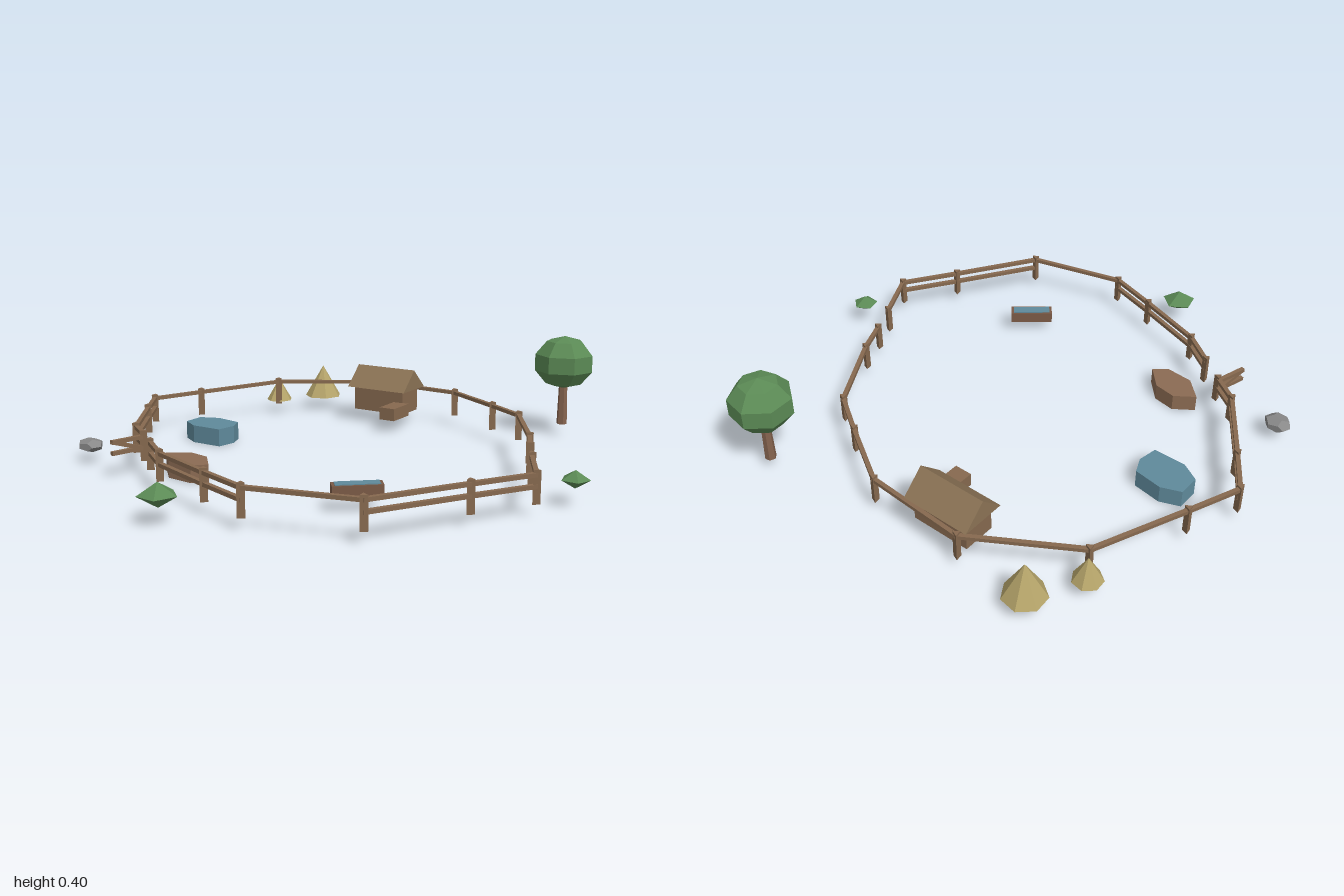
import * as THREE from 'three';

const paint = (name, color) => {
  const m = new THREE.MeshStandardMaterial({ color, flatShading: true });
  m.name = name;
  return m;
};

export function createModel() {
  const model = new THREE.Group();
  model.name = 'farmPaddock';
  const wood = paint('wood', 0x86694f);
  const roofBrown = paint('roofBrown', 0x8b7355);
  const mud = paint('mud', 0x8b6b53);
  const water = paint('water', 0x5f8a9b);
  const leaf = paint('leaf', 0x5b8a55);
  const straw = paint('straw', 0xb5a46a);
  const stone = paint('stone', 0x888888);
  const bark = paint('bark', 0x85634e);
  const troughWood = paint('troughWood', 0x7b5a46);

  const add = (name, geo, mat, x, y, z, parent = model) => {
    const mesh = new THREE.Mesh(geo, mat);
    mesh.name = name;
    mesh.position.set(x, y, z);
    parent.add(mesh);
    return mesh;
  };
  const group = (name, x, z, turn) => {
    const g = new THREE.Group();
    g.name = name;
    g.position.set(x, 0, z);
    g.rotation.y = turn;
    model.add(g);
    return g;
  };

  // Fence: three-sided posts joined by rails; some runs have a lower rail
  const fence = group('fence', 0, 0, 0);
  const postGeo = new THREE.CylinderGeometry(0.015, 0.015, 0.112, 3);
  const post = ([x, z]) => add('fencePost', postGeo, wood, x, 0.098, z, fence);
  const rail = (a, b, y0, y1 = y0) => {
    const from = new THREE.Vector3(a[0], y0, a[1]);
    const to = new THREE.Vector3(b[0], y1, b[1]);
    const mid = from.clone().add(to).multiplyScalar(0.5);
    const r = add('fenceRail', new THREE.BoxGeometry(0.016, 0.014, from.distanceTo(to) + 0.01), wood, mid.x, mid.y, mid.z, fence);
    r.lookAt(to);
  };
  const run = (points, doubleFrom) => {
    points.forEach((p, i) => {
      post(p);
      if (i === points.length - 1) return;
      rail(p, points[i + 1], 0.138);
      if (doubleFrom.includes(i)) rail(p, points[i + 1], 0.1);
    });
  };
  run([[0.706, -0.198], [0.868, -0.06], [0.823, 0.172], [0.76, 0.526], [0.447, 0.754],
    [0.24, 0.768], [-0.045, 0.78], [-0.193, 0.743]], [1, 2, 4, 5, 6]);
  run([[-0.31, 0.712], [-0.431, 0.685], [-0.685, 0.516], [-0.833, 0.415], [-0.833, 0.204],
    [-0.828, -0.172], [-0.575, -0.516], [-0.204, -0.645], [0.071, -0.605], [0.251, -0.574],
    [0.511, -0.378], [0.611, -0.283]], [0, 1, 2]);

  // Open gate with a diagonal brace
  const hinge = [-0.312, 0.72], tip = [-0.299, 0.835];
  rail(hinge, tip, 0.13);
  rail(hinge, tip, 0.09);
  rail(hinge, tip, 0.09, 0.13);

  // Coop: walls, gabled roof and a nest box on the front corner
  const coop = group('coop', -0.436, -0.463, 0.39);
  add('coopWalls', new THREE.BoxGeometry(0.23, 0.1, 0.125), wood, 0, 0.1, 0, coop);
  const gable = new THREE.Shape([[-0.087, 0], [0.087, 0], [0, 0.082]].map(p => new THREE.Vector2(...p)));
  const roofGeo = new THREE.ExtrudeGeometry(gable, { depth: 0.27, bevelEnabled: false });
  roofGeo.translate(0, 0, -0.135).rotateY(Math.PI / 2);
  add('coopRoof', roofGeo, roofBrown, 0, 0.148, 0, coop);
  add('nestBox', new THREE.BoxGeometry(0.068, 0.05, 0.12), wood, 0.108, 0.075, 0.118, coop);

  // Pond and mud wallow as many-sided slabs
  const slab = (name, outline, height, mat) => {
    const shape = new THREE.Shape(outline.map(([x, z]) => new THREE.Vector2(x, -z)));
    const geo = new THREE.ExtrudeGeometry(shape, { depth: height, bevelEnabled: false });
    add(name, geo.rotateX(-Math.PI / 2), mat, 0, 0, 0);
  };
  slab('pond', [[-0.695, 0.285], [-0.637, 0.23], [-0.53, 0.204], [-0.484, 0.25], [-0.468, 0.325],
    [-0.584, 0.373], [-0.664, 0.362]], 0.068, water);
  slab('mudWallow', [[-0.288, 0.638], [-0.24, 0.563], [-0.156, 0.545], [-0.061, 0.59],
    [-0.09, 0.645], [-0.193, 0.677]], 0.064, mud);

  // Water trough
  const trough = group('trough', 0.489, 0.354, -0.49);
  add('troughBody', new THREE.BoxGeometry(0.052, 0.042, 0.168), troughWood, 0, 0.069, 0, trough);
  add('troughWater', new THREE.BoxGeometry(0.04, 0.004, 0.148), water, 0, 0.091, 0, trough);

  // Tree
  const crown = add('treeCrown', new THREE.SphereGeometry(0.121, 7, 5), leaf, 0.175, 0.298, -0.89);
  crown.scale.y = 0.87;
  add('treeTrunk', new THREE.CylinderGeometry(0.017, 0.021, 0.16, 6), bark, 0.175, 0.126, -0.89);

  // Bushes
  for (const [x, y, z, r] of [[0.251, 0.097, 0.932, 0.067], [0.868, 0.092, -0.235, 0.05]]) {
    add('bush', new THREE.SphereGeometry(r, 5, 2), leaf, x, y, z).scale.y = 0.62;
  }

  // Straw stacks
  for (const [x, z, r, h] of [[-0.823, -0.404, 0.079, 0.135], [-0.863, -0.198, 0.055, 0.095]]) {
    add('strawStack', new THREE.ConeGeometry(r, h, 7), straw, x, 0.05 + h / 2, z).rotation.y = -Math.PI / 2;
  }

  // Boulder
  add('boulder', new THREE.DodecahedronGeometry(0.056), stone, -0.553, 0.064, 0.812).scale.set(1, 0.45, 0.85);

  return model;
}
